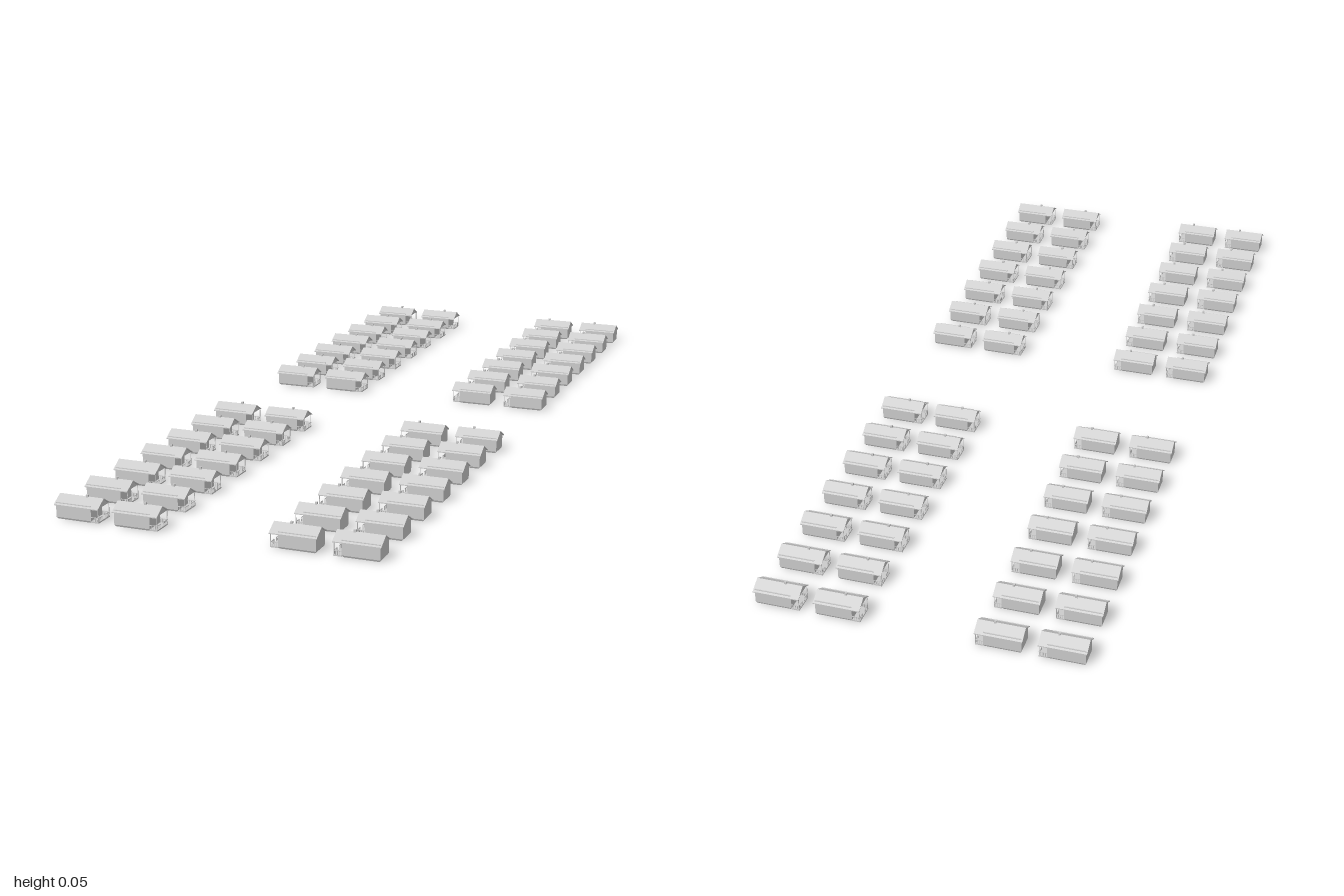
import * as THREE from 'three';

const material = new THREE.MeshStandardMaterial({ color: 0xcccccc, flatShading: true });

function part(parent, name, geometry, x = 0, y = 0, z = 0) {
  const mesh = new THREE.Mesh(geometry, material);
  mesh.name = name;
  mesh.position.set(x, y, z);
  parent.add(mesh);
  return mesh;
}

const box = (w, h, d) => new THREE.BoxGeometry(w, h, d);

// Extrudes a (z, y) outline along x, between x0 and x1.
function prismAlongX(points, x0, x1) {
  const shape = new THREE.Shape(points.map(([z, y]) => new THREE.Vector2(-z, y)));
  const geometry = new THREE.ExtrudeGeometry(shape, { depth: x1 - x0, bevelEnabled: false });
  return geometry.rotateY(Math.PI / 2).translate(x0, 0, 0);
}

// One cabin, with its open porch at the +x end.
function createCabin() {
  const cabin = new THREE.Group();
  cabin.name = 'cabin';
  const eave = 0.031, ridge = 0.05, roofHalf = 0.028, wallHalf = 0.024;
  const wallBack = -0.05, wallFront = 0.034, porchEnd = 0.052;

  // Walls, drawn in slightly at the foot
  const walls = box(wallFront - wallBack, 0.033, wallHalf * 2);
  part(cabin, 'walls', walls.translate((wallBack + wallFront) / 2, 0.0205, 0));
  const foot = box(wallFront - wallBack, 0.004, wallHalf * 2);
  const p = foot.attributes.position;
  for (let i = 0; i < p.count; i++) {
    if (p.getY(i) < 0) {
      p.setX(i, p.getX(i) - Math.sign(p.getX(i)) * 0.003);
      p.setZ(i, p.getZ(i) - Math.sign(p.getZ(i)) * 0.002);
    }
  }
  part(cabin, 'foundation', foot, (wallBack + wallFront) / 2, 0.002, 0);

  // Gable filling and the overhanging roof
  part(cabin, 'gable', prismAlongX(
    [[-wallHalf, 0.032], [wallHalf, 0.032], [0, 0.0485]], wallBack, porchEnd - 0.002));
  part(cabin, 'roof', prismAlongX(
    [[-roofHalf, eave], [0, ridge - 0.002], [roofHalf, eave],
      [roofHalf, eave + 0.002], [0, ridge], [-roofHalf, eave + 0.002]], -0.053, 0.053));

  // Chimney
  part(cabin, 'chimney', box(0.005, 0.01, 0.005), 0.0135, 0.049, 0);

  // Porch deck, posts and railings
  const deckLength = porchEnd - wallFront;
  const middle = (porchEnd + wallFront) / 2;
  part(cabin, 'porchDeck', box(deckLength, 0.003, wallHalf * 2), middle, 0.0025, 0);
  for (const side of [-1, 1]) {
    const z = side * (wallHalf - 0.001);
    part(cabin, 'porchPost', box(0.0014, 0.03, 0.0014), porchEnd - 0.001, 0.017, z);
    part(cabin, 'sideRail', box(deckLength, 0.0012, 0.0012), middle, 0.0125, z);
    for (let i = 1; i <= 3; i++) {
      part(cabin, 'sideBaluster', box(0.001, 0.009, 0.001), wallFront + i * deckLength / 4, 0.008, z);
    }
    // End railing leaves an entrance gap in the middle
    part(cabin, 'endRail', box(0.0012, 0.0012, 0.017), porchEnd - 0.001, 0.0125, side * 0.0145);
    for (let i = 0; i < 4; i++) {
      part(cabin, 'endBaluster', box(0.001, 0.009, 0.001), porchEnd - 0.001, 0.008, side * (0.0065 + i * 0.0045));
    }
  }
  return cabin;
}

export function createModel() {
  const model = new THREE.Group();
  model.name = 'cabinCamp';
  const prototype = createCabin();

  // Four blocks of cabins, all porches turned to the central lane
  for (const sx of [-1, 1]) {
    for (const sz of [-1, 1]) {
      const block = new THREE.Group();
      block.name = 'cabinBlock';
      for (const x of [0.181, 0.3205]) {
        for (let row = 0; row < 7; row++) {
          const cabin = prototype.clone();
          cabin.position.set(sx * x, 0, sz * (0.972 - row * 0.1293));
          cabin.rotation.y = sx > 0 ? Math.PI : 0;
          block.add(cabin);
        }
      }
      model.add(block);
    }
  }
  return model;
}
